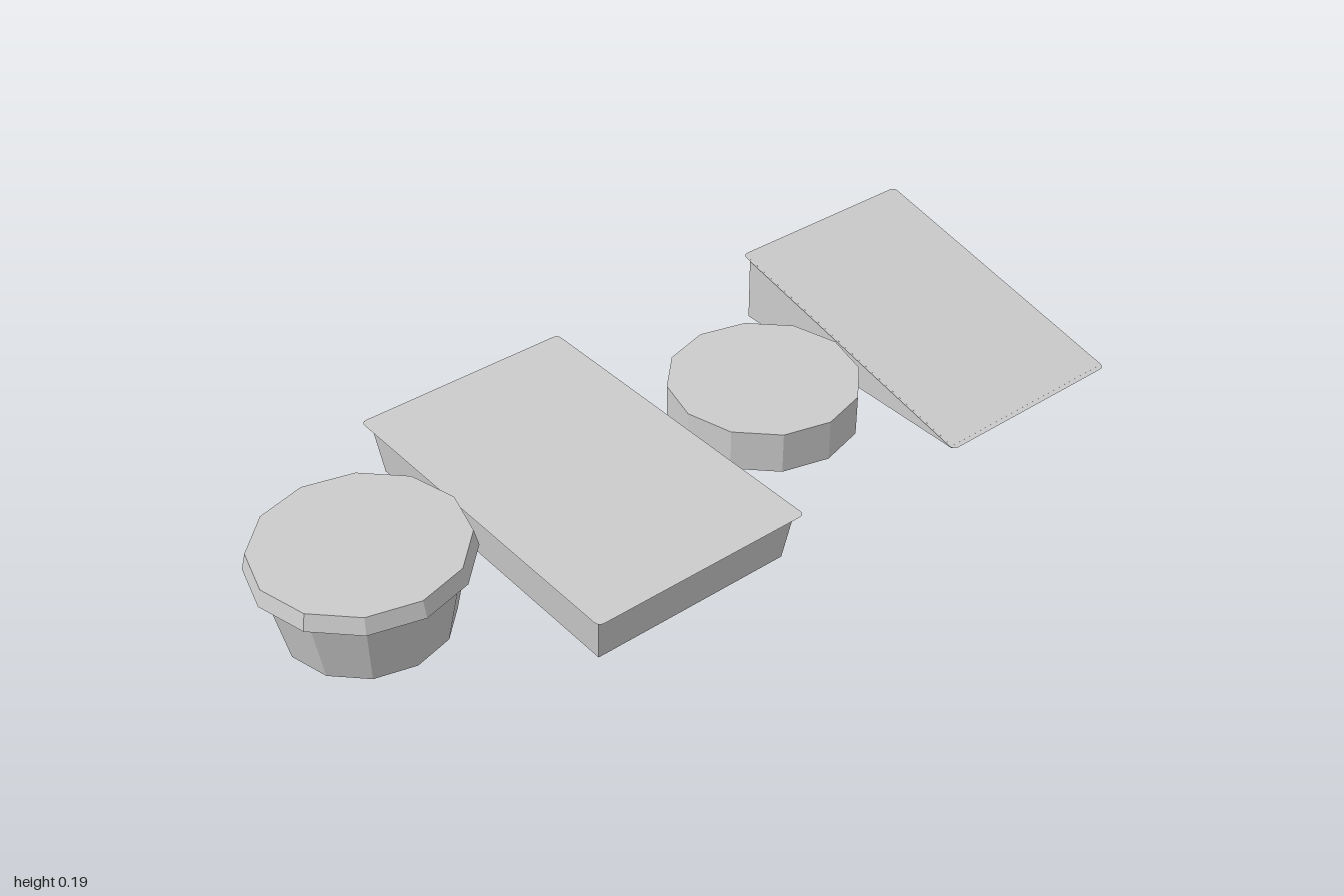
import * as THREE from 'three';

const material = new THREE.MeshStandardMaterial({ color: 0xcccccc, flatShading: true });
const sheetMaterial = new THREE.MeshStandardMaterial({
  color: 0xcccccc, flatShading: true, side: THREE.DoubleSide,
});

// Twelve-sided drum or tapered drum standing between two heights
function drum(name, x, topRadius, bottomRadius, y0, y1) {
  const mesh = new THREE.Mesh(
    new THREE.CylinderGeometry(topRadius, bottomRadius, y1 - y0, 12), material);
  mesh.name = name;
  mesh.position.set(x, (y0 + y1) / 2, 0);
  return mesh;
}

// Thin horizontal sheet with small rounded corners
function sheet(name, width, depth, r = 0.015) {
  const w = width / 2, d = depth / 2;
  const shape = new THREE.Shape();
  shape.moveTo(-w + r, -d);
  shape.lineTo(w - r, -d);
  shape.quadraticCurveTo(w, -d, w, -d + r);
  shape.lineTo(w, d - r);
  shape.quadraticCurveTo(w, d, w - r, d);
  shape.lineTo(-w + r, d);
  shape.quadraticCurveTo(-w, d, -w, d - r);
  shape.lineTo(-w, -d + r);
  shape.quadraticCurveTo(-w, -d, -w + r, -d);
  const geometry = new THREE.ShapeGeometry(shape, 4);
  geometry.rotateX(-Math.PI / 2);
  const mesh = new THREE.Mesh(geometry, sheetMaterial);
  mesh.name = name;
  return mesh;
}

export function createModel() {
  const model = new THREE.Group();
  model.name = 'containerSet';

  // Round tub: tapered body under an overhanging lid
  const tub = new THREE.Group();
  tub.name = 'roundTub';
  tub.add(drum('tubBody', -0.775, 0.207, 0.174, 0, 0.159));
  tub.add(drum('tubLid', -0.775, 0.217, 0.226, 0.158, 0.195));

  // Rectangular tray: box narrowing towards its base, with a thin cover
  const tray = new THREE.Group();
  tray.name = 'rectangularTray';
  const trayGeometry = new THREE.BoxGeometry(0.494, 0.12, 0.79);
  const p = trayGeometry.attributes.position;
  for (let i = 0; i < p.count; i++) {
    if (p.getY(i) < 0) {
      p.setX(i, Math.sign(p.getX(i)) * 0.235);
      p.setZ(i, Math.sign(p.getZ(i)) * 0.375);
    }
  }
  const trayBody = new THREE.Mesh(trayGeometry, material);
  trayBody.name = 'trayBody';
  trayBody.position.set(-0.26, 0.06, 0);
  const trayCover = sheet('trayCover', 0.52, 0.826);
  trayCover.position.set(-0.26, 0.121, -0.001);
  tray.add(trayBody, trayCover);

  // Low round puck
  const puck = drum('roundPuck', 0.254, 0.215, 0.215, 0.02, 0.118);

  // Wedge: side profile extruded across x, with a thin sloping cover
  const wedge = new THREE.Group();
  wedge.name = 'wedge';
  const profile = new THREE.Shape([
    new THREE.Vector2(-0.34, 0), new THREE.Vector2(0.335, 0),
    new THREE.Vector2(0.335, 0.16), new THREE.Vector2(-0.34, 0.006),
  ]);
  const wedgeGeometry = new THREE.ExtrudeGeometry(profile, { depth: 0.484, bevelEnabled: false });
  wedgeGeometry.rotateY(Math.PI / 2);
  const wedgeBody = new THREE.Mesh(wedgeGeometry, material);
  wedgeBody.name = 'wedgeBody';
  wedgeBody.position.x = 0.506;
  const slope = Math.atan2(0.154, 0.675);
  const wedgeCover = sheet('wedgeCover', 0.496, 0.705 / Math.cos(slope));
  wedgeCover.rotation.x = slope;
  wedgeCover.position.set(0.749, 0.084, -0.0025);
  wedge.add(wedgeBody, wedgeCover);

  model.add(tub, tray, puck, wedge);
  return model;
}
